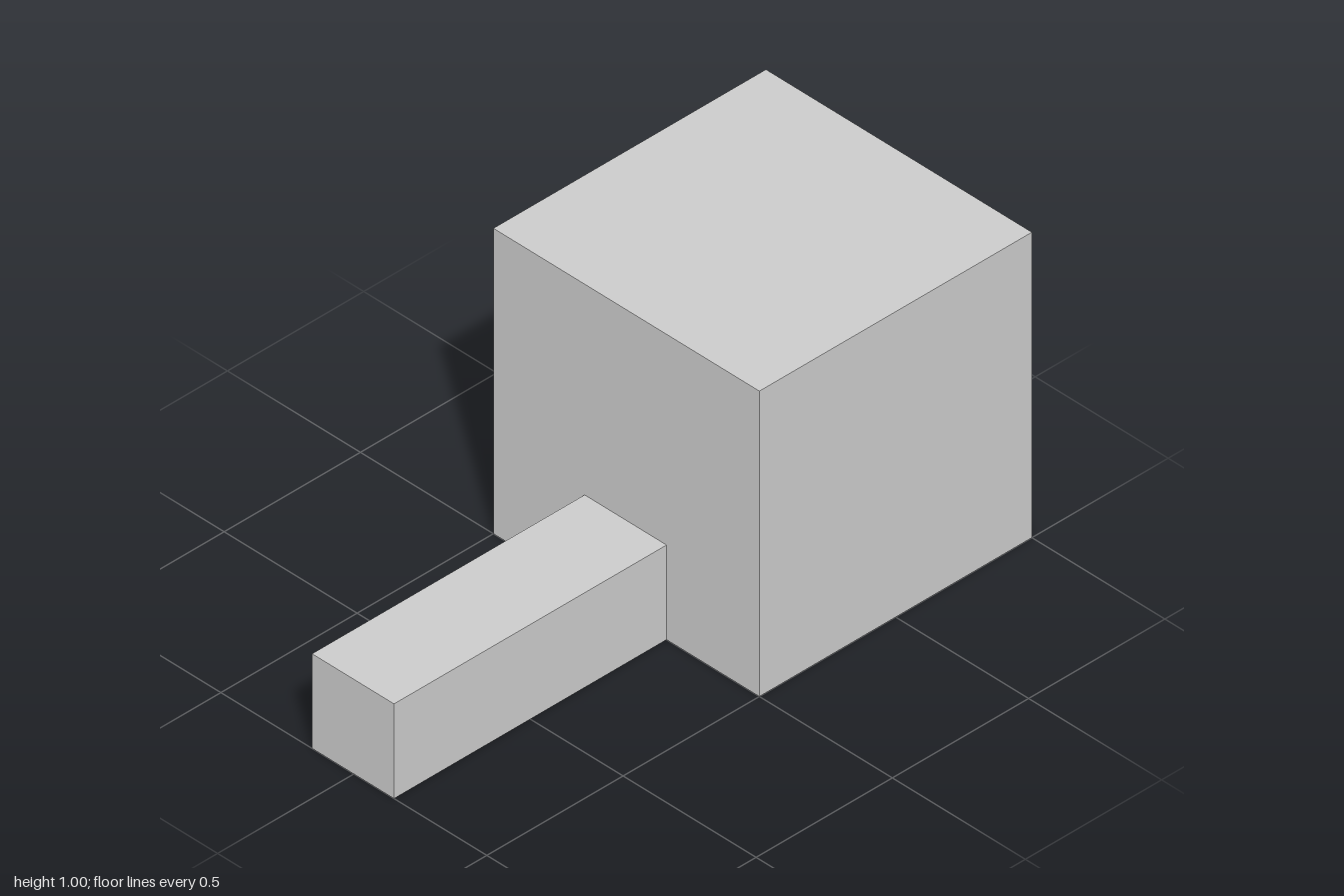
import * as THREE from 'three';

export function createModel() {
  const model = new THREE.Group();
  const material = new THREE.MeshStandardMaterial({ color: 0xcccccc, flatShading: true });

  // Box given by its minimum and maximum corners
  function addBox(name, [x0, y0, z0], [x1, y1, z1]) {
    const mesh = new THREE.Mesh(new THREE.BoxGeometry(x1 - x0, y1 - y0, z1 - z0), material);
    mesh.position.set((x0 + x1) / 2, (y0 + y1) / 2, (z0 + z1) / 2);
    mesh.name = name;
    model.add(mesh);
  }

  // Large cube
  addBox('cube', [0, 0, -0.5], [1, 1, 0.5]);
  // Low square bar butting against the cube's side
  addBox('bar', [-1, 0, -0.157], [0, 0.31, 0.151]);

  return model;
}
